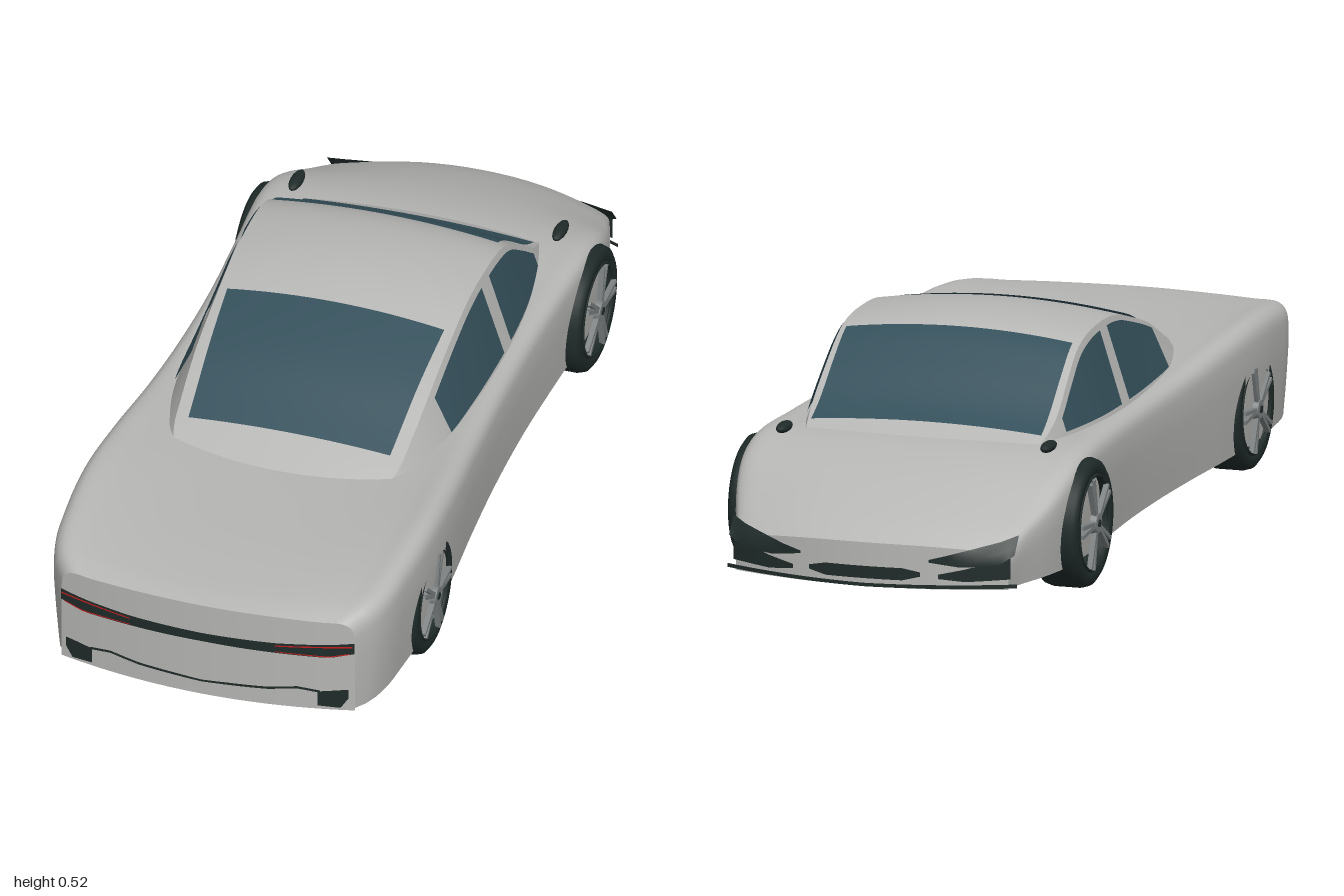
import * as THREE from 'three';

const mat = (name, color, side = THREE.FrontSide) => {
  const m = new THREE.MeshStandardMaterial({ color, side });
  m.name = name;
  return m;
};

// Grid surface from a rule fn(u, v) -> [x, y, z], facing du x dv
function patch(nu, nv, fn) {
  const pos = [], idx = [];
  for (let j = 0; j <= nv; j++)
    for (let i = 0; i <= nu; i++) {
      pos.push(...fn(i / nu, j / nv));
      if (i < nu && j < nv) {
        const a = j * (nu + 1) + i, d = a + nu + 1;
        idx.push(a, a + 1, d, a + 1, d + 1, d);
      }
    }
  const g = new THREE.BufferGeometry();
  g.setAttribute('position', new THREE.Float32BufferAttribute(pos, 3));
  g.setIndex(idx);
  g.computeVertexNormals();
  return g;
}

// Smooth or straight lookup in a table keyed on its first column
function lookup(rows, Kind = THREE.CubicInterpolant) {
  const n = rows[0].length - 1;
  const it = new Kind(rows.map(r => r[0]), rows.flatMap(r => r.slice(1)), n, new Array(n));
  return k => Array.from(it.evaluate(k));
}

const { lerp, smoothstep } = THREE.MathUtils;
const FLOOR = 0.065, NOSE = -1, TAIL = 0.99;

// Lower body stations: z, half width, shoulder height, centre height
const body = lookup([
  [-1, 0.32, 0.15, 0.165], [-0.95, 0.337, 0.183, 0.196], [-0.85, 0.367, 0.226, 0.243],
  [-0.72, 0.388, 0.277, 0.29], [-0.6, 0.394, 0.306, 0.315], [-0.4, 0.385, 0.31, 0.312],
  [-0.2, 0.378, 0.308, 0.305], [0, 0.38, 0.31, 0.305], [0.2, 0.39, 0.318, 0.308],
  [0.4, 0.405, 0.335, 0.315], [0.58, 0.413, 0.346, 0.32], [0.78, 0.405, 0.338, 0.322],
  [0.9, 0.393, 0.325, 0.317], [0.96, 0.372, 0.312, 0.312], [0.99, 0.345, 0.297, 0.305]]);
// Half section from sill to shoulder: width share, height share
const sill = [[0.965, 0], [0.99, 0.42], [1, 0.76], [0.985, 0.93], [0.93, 1]];

// Both ends are bowed in plan
const bow = (x, z) => z - 0.38 * x * x * smoothstep(z, 0.6, TAIL) + 0.6 * x * x * (1 - smoothstep(z, NOSE, -0.6));

function shell(u, z) {
  const [w, t, c] = body(z);
  const half = sill.map(([a, b]) => [a * w, FLOOR + b * (t - FLOOR)]);
  half.push([0.78 * w, lerp(t, c, 0.35)], [0.45 * w, lerp(t, c, 0.85)]);
  const pts = [...half, [0, c], ...half.slice().reverse().map(([x, y]) => [-x, y])];
  const p = new THREE.CatmullRomCurve3(pts.map(([x, y]) => new THREE.Vector3(x, y, 0))).getPoint(u);
  return [p.x, p.y, bow(p.x, z)];
}

// Cabin stations: z, base half width, roof half width, roof edge height, roof centre height
const cabin = lookup([
  [-0.6, 0.28, 0.27, 0.3, 0.313], [-0.5, 0.305, 0.285, 0.348, 0.362], [-0.4, 0.325, 0.283, 0.422, 0.441],
  [-0.33, 0.335, 0.28, 0.47, 0.491], [-0.27, 0.34, 0.28, 0.491, 0.513], [-0.15, 0.345, 0.278, 0.5, 0.525],
  [-0.05, 0.345, 0.277, 0.493, 0.516], [0.05, 0.343, 0.276, 0.468, 0.491], [0.2, 0.335, 0.275, 0.42, 0.44],
  [0.32, 0.315, 0.27, 0.367, 0.382], [0.4, 0.29, 0.262, 0.331, 0.344], [0.46, 0.25, 0.235, 0.3, 0.315]]);
const BASE = 0.29;
const roofY = (x, z) => {
  const [, r, e, c] = cabin(z);
  return c - (c - e) * (x / r) ** 2;
};
const sideX = (y, z) => {
  const [b, r, e] = cabin(z);
  return lerp(b, r, (y - BASE) / (e - BASE));
};

export function createModel() {
  const paint = mat('silver paint', 0xb6b6b4);
  const glass = mat('tinted glass', 0x35505b, THREE.DoubleSide);
  const dark = mat('dark trim', 0x1f2b29, THREE.DoubleSide);
  const red = mat('red light', 0xc81e1e, THREE.DoubleSide);
  const rim = mat('wheel grey', 0x7c8080);
  const car = new THREE.Group();
  car.name = 'car';
  const add = (name, geo, m, parent = car) => {
    const mesh = new THREE.Mesh(geo, m);
    mesh.name = name;
    parent.add(mesh);
    return mesh;
  };

  // Lower body, floor and end faces
  add('bodyShell', patch(56, 64, (u, v) => shell(u, lerp(NOSE, TAIL, v))), paint);
  add('floor', patch(16, 48, (u, v) => {
    const z = lerp(NOSE, TAIL, v), x = lerp(-1, 1, u) * sill[0][0] * body(z)[0];
    return [x, FLOOR, bow(x, z)];
  }), paint);
  for (const [name, end, flip] of [['noseFace', NOSE, 0], ['tailFace', TAIL, 1]])
    add(name, patch(56, 4, (u, v) => {
      const [x, y, z] = shell(u, end);
      return [x, lerp(FLOOR, y, flip ? 1 - v : v), z];
    }), paint);

  // Cabin roof and sides
  add('roof', patch(24, 48, (u, v) => {
    const z = lerp(-0.6, 0.46, v), x = lerp(1, -1, u) * cabin(z)[1];
    return [x, roofY(x, z), z];
  }), paint);
  for (const s of [1, -1])
    add('cabinSide', patch(4, 48, (u, v) => {
      const z = lerp(-0.6, 0.46, v), y = lerp(BASE, cabin(z)[2], s > 0 ? u : 1 - u);
      return [s * sideX(y, z), y, z];
    }), paint);

  // Windscreen and rear window, laid just above the roof surface
  for (const [name, z0, z1, w0, w1] of [['windscreen', -0.55, -0.31, 0.27, 0.265], ['rearWindow', 0.04, 0.37, 0.255, 0.237]])
    add(name, patch(16, 16, (u, v) => {
      const z = lerp(z0, z1, v), x = lerp(1, -1, u) * lerp(w0, w1, v);
      return [x, roofY(x, z) + 0.005, z];
    }), glass);

  // Side windows
  for (const s of [1, -1])
    for (const [name, z0, z1] of [['frontSideWindow', -0.475, -0.18], ['rearSideWindow', -0.13, 0.2]])
      add(name, patch(4, 16, (u, v) => {
        const z = lerp(z0, z1, v), y = lerp(0.322, cabin(z)[2] - 0.012, u);
        return [s * (sideX(y, z) + 0.005), y, z];
      }), glass);

  // Thin plates on the end faces; rows are |x|, lower y, upper y
  const plate = (name, end, x0, x1, rows, m, lift = 0.005) => {
    const edge = lookup(rows, THREE.LinearInterpolant);
    add(name, patch(32, 2, (u, v) => {
      const x = lerp(x0, x1, u), [lo, hi] = edge(Math.abs(x)), y = lerp(lo, hi, v);
      const lean = end < 0 ? Math.max(0, y - 0.145) * 0.8 : 0;
      return [x, y, bow(x, end) + Math.sign(end) * lift + lean];
    }), m);
  };
  plate('tailLightBar', TAIL, -0.345, 0.345, [[0, 0.212, 0.234], [0.17, 0.21, 0.236], [0.29, 0.208, 0.243], [0.345, 0.222, 0.25]], dark);
  plate('lowerTailLine', TAIL, -0.27, 0.27, [[0, 0.102, 0.107], [0.06, 0.105, 0.111], [0.15, 0.109, 0.115], [0.22, 0.119, 0.125], [0.27, 0.112, 0.118]], dark);
  plate('frontSplitter', NOSE, -0.34, 0.34, [[0, 0.066, 0.074], [0.34, 0.07, 0.079]], dark, 0.008);
  plate('frontIntake', NOSE, -0.13, 0.13, [[0, 0.084, 0.112], [0.09, 0.084, 0.112], [0.13, 0.094, 0.104]], dark);
  for (const s of [1, -1]) {
    plate('upperTailLight', TAIL, s * 0.17, s * 0.342, [[0.17, 0.229, 0.232], [0.342, 0.24, 0.244]], red, 0.008);
    plate('lowerTailLight', TAIL, s * 0.17, s * 0.335, [[0.17, 0.214, 0.216], [0.29, 0.211, 0.214], [0.335, 0.221, 0.224]], red, 0.008);
    plate('rearVent', TAIL, s * 0.265, s * 0.332, [[0.265, 0.077, 0.115], [0.315, 0.074, 0.122], [0.332, 0.1, 0.123]], dark);
    plate('headlight', NOSE, s * 0.15, s * 0.335, [[0.15, 0.128, 0.134], [0.22, 0.118, 0.152], [0.3, 0.122, 0.172], [0.335, 0.145, 0.185]], dark, 0.009);
    plate('cornerIntake', NOSE, s * 0.17, s * 0.325, [[0.17, 0.09, 0.1], [0.23, 0.084, 0.113], [0.325, 0.09, 0.14]], dark);
  }

  // Small mirrors at the foot of the windscreen
  for (const s of [1, -1]) {
    const m = add('mirror', new THREE.SphereGeometry(1, 16, 10), dark);
    m.scale.set(0.015, 0.012, 0.04);
    m.position.set(s * 0.31, 0.322, -0.62);
  }

  // Wheels: rounded tyre, rim ring, five split spokes and a hub, outer side along +y before turning
  const tyreProfile = [[0.108, 0.046], [0.113, 0.053], [0.13, 0.054], [0.142, 0.046], [0.147, 0.03],
    [0.147, -0.03], [0.142, -0.046], [0.13, -0.054], [0.113, -0.053], [0.108, -0.046], [0.108, 0.046]];
  const tyre = new THREE.LatheGeometry(tyreProfile.map(([r, y]) => new THREE.Vector2(r, y)).reverse(), 48);
  const ring = new THREE.TorusGeometry(0.107, 0.004, 8, 48).rotateX(Math.PI / 2).translate(0, 0.051, 0);
  const spoke = new THREE.BoxGeometry(0.084, 0.012, 0.009).translate(0.064, 0.055, 0);
  const hub = new THREE.CylinderGeometry(0.022, 0.026, 0.014, 20).translate(0, 0.056, 0);
  for (const s of [1, -1])
    for (const [name, z, size] of [['frontWheel', -0.59, 1], ['rearWheel', 0.575, 0.95]]) {
      const wheel = new THREE.Group();
      wheel.name = name;
      add('tyre', tyre, dark, wheel);
      add('rimRing', ring, dark, wheel);
      add('hub', hub, rim, wheel);
      add('hubCap', new THREE.CylinderGeometry(0.009, 0.009, 0.003, 12).translate(0, 0.064, 0), dark, wheel);
      for (let i = 0; i < 5; i++)
        for (const k of [-1, 1])
          add('spoke', spoke, rim, wheel).rotation.y = Math.PI / 2 + i * Math.PI * 0.4 + k * 0.1;
      wheel.rotation.z = -s * Math.PI / 2;
      wheel.scale.set(size, 1, size);
      wheel.position.set(s * 0.356, 0.147, z);
      car.add(wheel);
    }
  return car;
}
